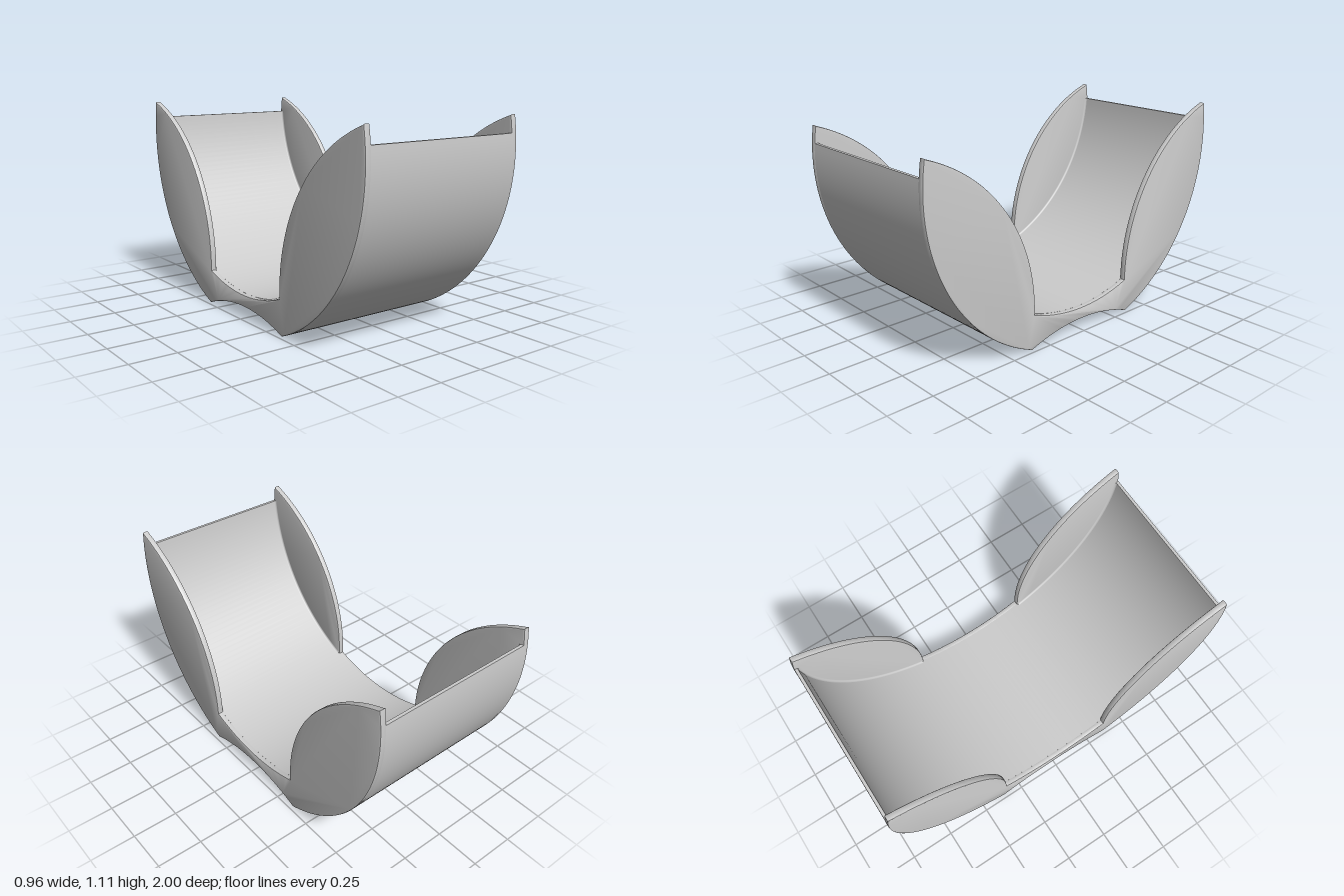
import * as THREE from 'three';
import { toCreasedNormals } from 'three/addons/utils/BufferGeometryUtils.js';
import { ParametricGeometry } from 'three/addons/geometries/ParametricGeometry.js';

const HALF = 0.48, PLATE = 0.034, BEVEL = 0.006;
const INNER = { y: 1.115, r: 0.985 };

// Points [z, y] along the short arc about centre c, from p to q
function arc(c, p, q, n) {
  const a0 = Math.atan2(p[1] - c[1], p[0] - c[0]);
  let da = Math.atan2(q[1] - c[1], q[0] - c[0]) - a0;
  da = Math.atan2(Math.sin(da), Math.cos(da));
  const r0 = Math.hypot(p[0] - c[0], p[1] - c[1]);
  const r1 = Math.hypot(q[0] - c[0], q[1] - c[1]);
  return Array.from({ length: n + 1 }, (_, i) => {
    const t = i / n, a = a0 + da * t, r = r0 + (r1 - r0) * t;
    return new THREE.Vector2(c[0] + r * Math.cos(a), c[1] + r * Math.sin(a));
  });
}

const mirror = (pts) => pts.map((p) => new THREE.Vector2(-p.x, p.y)).reverse();

// Closed outline from consecutive runs, dropping repeated joints
function outline(...runs) {
  const pts = runs.flat();
  return new THREE.Shape(pts.filter((p, i) => p.distanceTo(pts[(i + 1) % pts.length]) > 1e-4));
}

// Extrude a z-y outline along x, centred on x
function extrude(shape, width, bevel) {
  const g = new THREE.ExtrudeGeometry(shape, {
    depth: width - 2 * bevel, bevelEnabled: bevel > 0, bevelSize: bevel,
    bevelThickness: bevel, bevelOffset: -bevel, bevelSegments: 2,
  });
  g.translate(0, 0, -(width - 2 * bevel) / 2);
  g.rotateY(-Math.PI / 2);
  return toCreasedNormals(g, 0.5);
}

export function createModel() {
  const group = new THREE.Group();
  const material = new THREE.MeshStandardMaterial({ color: 0xcccccc });
  const add = (name, geometry, mat = material) => {
    const mesh = new THREE.Mesh(geometry, mat);
    mesh.name = name;
    group.add(mesh);
    return mesh;
  };

  const foot = [0.36, 0], notch = [0.342, 0.191];
  const underside = arc([0, -0.965], [-foot[0], 0], foot, 24);

  // Curved cradle: crescent walls joined by the arched base
  const wall = arc([0, 0.935], foot, [0.996, 1.02], 48);
  const bowl = arc([0, INNER.y], [0.98, 1.02], [0, INNER.y - INNER.r], 48);
  add('cradle', extrude(outline(underside, wall, bowl, mirror(bowl), mirror(wall)),
    2 * (HALF - PLATE + BEVEL), 0));

  // End plates: two leaf-shaped cheeks over the base
  const back = arc([0, 0.935], foot, [0.985, 1.11], 48);
  const lip = arc([1.282, 0.215], [0.973, 1.104], notch, 36);
  const dip = arc([0, INNER.y], notch, [-notch[0], notch[1]], 24);
  const plate = extrude(outline(underside, back, lip, dip, mirror(lip), mirror(back)), PLATE, BEVEL);
  for (const side of [1, -1]) {
    add(side > 0 ? 'leftEndPlate' : 'rightEndPlate', plate).position.x = side * (HALF - PLATE / 2);
  }

  // Small fillets where the cheeks meet the bowl
  const thin = material.clone();
  thin.side = THREE.DoubleSide;
  const r = 0.012, from = Math.asin(0.35 / INNER.r), to = Math.PI / 2 - 0.097;
  for (const sx of [1, -1]) for (const sz of [1, -1]) {
    add('fillet', new ParametricGeometry((u, v, p) => {
      const t = sx * sz > 0 ? u : 1 - u;
      const a = from + (to - from) * t, b = v * Math.PI / 2;
      const rad = INNER.r - r + r * Math.cos(b);
      p.set(sx * (HALF - PLATE - r + r * Math.sin(b)), INNER.y - rad * Math.cos(a), sz * rad * Math.sin(a));
    }, 40, 5), thin);
  }
  return group;
}
